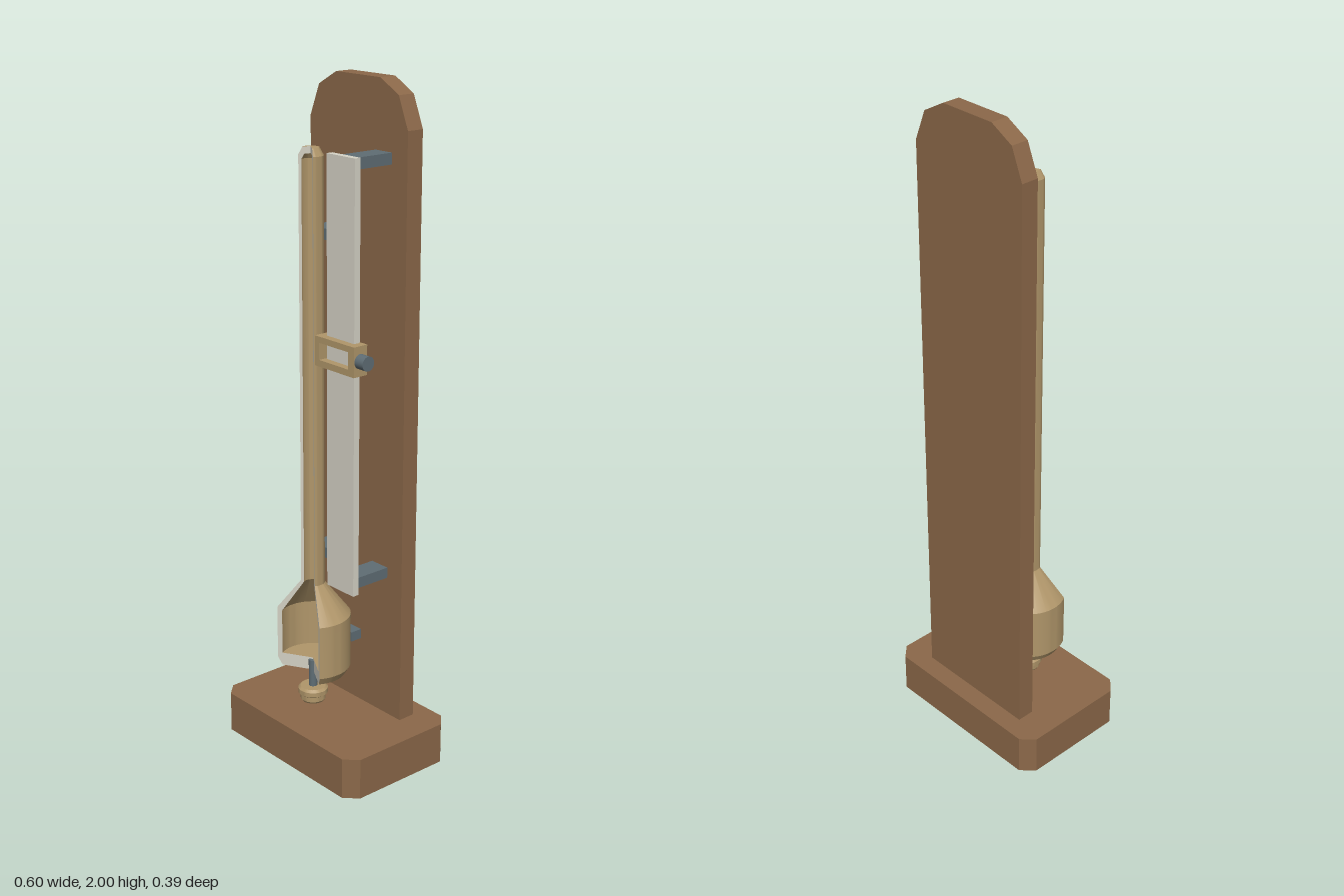
import * as THREE from 'three';
import { toCreasedNormals } from 'three/addons/utils/BufferGeometryUtils.js';

const mat = (name, color, side = THREE.FrontSide) => {
  const m = new THREE.MeshStandardMaterial({ color, side });
  m.name = name;
  return m;
};

export function createModel() {
  const root = new THREE.Group();
  root.name = 'cutawayBarometer';
  const wood = mat('wood', 0x8b6849);
  const brass = mat('brass', 0xb0966a);
  const steel = mat('steel', 0x5f6d74);
  const ivory = mat('ivory', 0xd6d3c6, THREE.DoubleSide);

  const add = (name, geo, material, x = 0, y = 0, z = 0) => {
    const m = new THREE.Mesh(geo, material);
    m.name = name;
    m.position.set(x, y, z);
    root.add(m);
    return m;
  };
  // Box given by its limits on each axis
  const box = (name, material, x0, x1, y0, y1, z0, z1) =>
    add(name, new THREE.BoxGeometry(x1 - x0, y1 - y0, z1 - z0), material,
      (x0 + x1) / 2, (y0 + y1) / 2, (z0 + z1) / 2);
  const shapeOf = (pts) => new THREE.Shape(pts.map(([x, y]) => new THREE.Vector2(x, y)));
  const extrude = (shape, depth) =>
    new THREE.ExtrudeGeometry(shape, { depth, bevelEnabled: false });
  const lathe = (pts, segments, start = 0, length = Math.PI * 2) =>
    toCreasedNormals(new THREE.LatheGeometry(
      pts.map(([x, y]) => new THREE.Vector2(x, y)), segments, start, length), 0.4);

  // Base with chamfered corners
  const bx = 0.298, bz = 0.196, c = 0.037;
  const baseGeo = extrude(shapeOf([
    [-bx + c, -bz], [bx - c, -bz], [bx, -bz + c], [bx, bz - c],
    [bx - c, bz], [-bx + c, bz], [-bx, bz - c], [-bx, -bz + c]]), 0.125);
  baseGeo.rotateX(-Math.PI / 2);
  add('base', baseGeo, wood);

  // Backboard with faceted top
  add('backboard', extrude(shapeOf([
    [-0.2, 0.12], [0.2, 0.12], [0.2, 1.87], [0.163, 1.96], [0.09, 2],
    [-0.09, 2], [-0.163, 1.96], [-0.2, 1.87]]), 0.054), wood, 0, 0, -0.137);

  // Tube and cistern, with a 120 degree wedge cut from the front
  const tx = -0.046, tz = 0.046;
  const profile = [
    [0, 0.24], [0.098, 0.24], [0.113, 0.265], [0.113, 0.43], [0.036, 0.53],
    [0.036, 1.79], [0.024, 1.812], [0, 1.814],
    [0, 1.795], [0.018, 1.793], [0.027, 1.778],
    [0.027, 0.525], [0.098, 0.42], [0.098, 0.28], [0, 0.28]];
  add('tubeAndCistern', lathe(profile, 48, Math.PI / 3, Math.PI * 4 / 3), brass, tx, 0, tz);
  for (const [name, angle] of [['leftCutFace', -Math.PI / 6], ['rightCutFace', Math.PI * 7 / 6]]) {
    add(name, new THREE.ShapeGeometry(shapeOf(profile)), ivory, tx, 0, tz).rotation.y = angle;
  }

  // Adjusting screw under the cistern
  add('screwShaft', new THREE.CylinderGeometry(0.013, 0.013, 0.095, 24), steel, tx, 0.2275, tz);
  add('screwKnob', lathe([
    [0, 0.143], [0.034, 0.143], [0.038, 0.149], [0.038, 0.164], [0.045, 0.169],
    [0.045, 0.183], [0.038, 0.19], [0, 0.19]], 32), brass, tx, 0, tz);

  // Brackets from the backboard
  for (const y of [0.622, 1.572]) {
    box('tubeBracket', steel, -0.085, -0.006, y - 0.016, y + 0.016, -0.085, 0.016);
  }
  box('cisternBracket', steel, -0.118, 0.025, 0.33, 0.36, -0.085, -0.046);
  for (const y of [0.583, 1.79]) {
    box('scaleBracket', steel, 0.073, 0.139, y - 0.016, y + 0.016, -0.085, 0.05);
  }

  // Scale plate
  box('scalePlate', ivory, 0.049, 0.163, 0.56, 1.81, 0.05, 0.07);

  // Sliding frame around the scale, with its clamp knob
  const frame = shapeOf([[0.025, 1.222], [0.188, 1.222], [0.188, 1.308], [0.025, 1.308]]);
  frame.holes.push(new THREE.Path([[0.043, 1.241], [0.043, 1.29], [0.165, 1.29], [0.165, 1.241]]
    .map(([x, y]) => new THREE.Vector2(x, y))));
  add('sliderFrame', extrude(frame, 0.048), brass, 0, 0, 0.045);
  add('sliderKnob', new THREE.CylinderGeometry(0.021, 0.021, 0.034, 24), steel,
    0.204, 1.265, 0.07).rotation.z = Math.PI / 2;

  return root;
}
